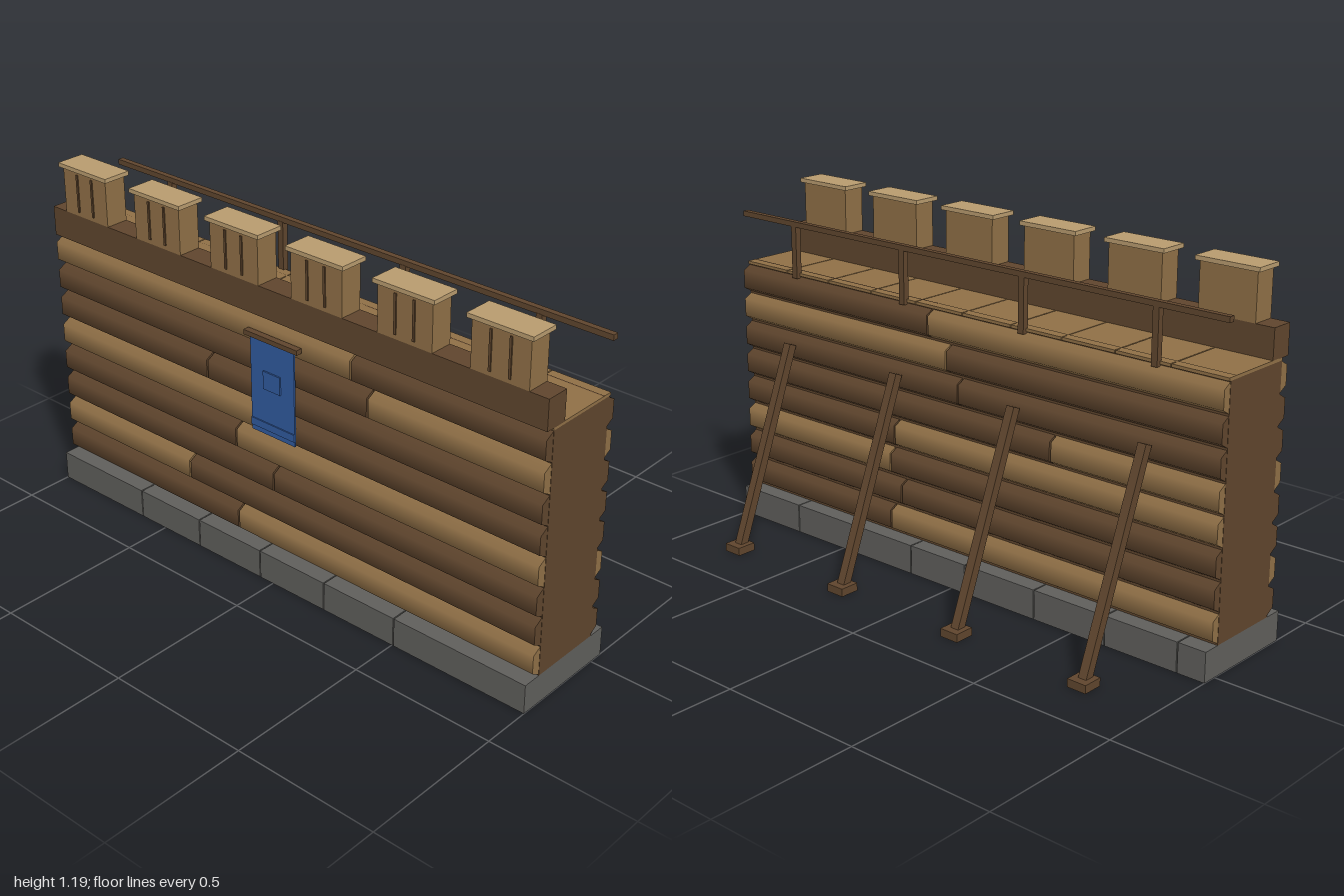
import * as THREE from 'three';

export function createModel() {
  const model = new THREE.Group();
  model.name = 'palisadeWall';

  const paint = (name, color) => {
    const m = new THREE.MeshStandardMaterial({ color });
    m.name = name;
    return m;
  };
  const dark = paint('darkWood', 0x5f452d);
  const tan = paint('tanWood', 0x8f6f46);
  const pale = paint('paleWood', 0xb89b6e);
  const stone = paint('stone', 0x5f5e5b);
  const blue = paint('blueCloth', 0x305a9e);

  // Box given by its lower and upper limits on each axis
  const box = (name, mat, [x0, x1], [y0, y1], [z0, z1], parent = model) => {
    const mesh = new THREE.Mesh(new THREE.BoxGeometry(x1 - x0, y1 - y0, z1 - z0), mat);
    mesh.position.set((x0 + x1) / 2, (y0 + y1) / 2, (z0 + z1) / 2);
    mesh.name = name;
    parent.add(mesh);
    return mesh;
  };
  const group = (name) => {
    const g = new THREE.Group();
    g.name = name;
    model.add(g);
    return g;
  };

  // Stone footing: a core faced with two rows of blocks
  const footing = group('footing');
  box('footingCore', stone, [-0.996, 0.996], [0, 0.097], [-0.046, 0.331], footing);
  const blockRow = (joints, z) => {
    const ends = [-1, ...joints, 1];
    for (let i = 0; i + 1 < ends.length; i++) {
      const left = i ? ends[i] + 0.002 : -1;
      const right = i + 2 < ends.length ? ends[i + 1] - 0.002 : 1;
      box('footingBlock', stone, [left, right], [0, 0.1], z, footing);
    }
  };
  blockRow([-0.61, -0.333, -0.056, 0.22, 0.505], [0.142, 0.335]);
  blockRow([-0.9, -0.63, -0.35, -0.06, 0.18, 0.45, 0.72], [-0.05, 0.142]);

  // Solid wall body between the log faces
  box('wallCore', dark, [-1, 1], [0.1, 0.912], [0.01, 0.271]);

  // Six-sided logs, two to a row: [joint x, material at -x, material at +x]
  const logs = group('logs');
  const addLog = (x0, x1, y, z, mat) => {
    const geo = new THREE.CylinderGeometry(0.062, 0.062, x1 - x0, 6, 1, false, Math.PI / 6);
    geo.rotateZ(Math.PI / 2);
    const log = new THREE.Mesh(geo, mat);
    log.position.set((x0 + x1) / 2, y, z);
    log.name = 'log';
    logs.add(log);
  };
  const frontRows = [
    [-0.18, dark, tan], [-0.4, tan, dark], [-0.02, dark, dark], [-0.18, dark, tan],
    [-0.05, tan, dark], [-0.3, dark, dark], [0.365, dark, tan], [0.3, tan, dark],
  ];
  const backRows = [
    [0.3, tan, dark], [0.25, dark, dark], [0.3, dark, tan], [0.28, tan, dark],
    [-0.38, tan, dark], [0.0, dark, dark], [0.05, dark, tan], [0.13, tan, dark],
  ];
  for (const [rows, z] of [[frontRows, 0.248], [backRows, 0.036]]) {
    rows.forEach(([joint, matA, matB], i) => {
      const y = 0.153 + i * 0.1012;
      addLog(-0.999, joint - 0.003, y, z, matA);
      addLog(joint + 0.003, 0.999, y, z, matB);
    });
  }

  // Walkway boards
  const walkway = group('walkway');
  for (let i = 0; i < 10; i++) {
    const x = -1 + i * 0.2;
    box('walkwayBoard', tan, [x + (i ? 0.002 : 0), x + (i < 9 ? 0.198 : 0.2)],
      [0.912, 0.922], [0.004, 0.272], walkway);
  }

  // Parapet beam with capped, grooved merlons
  box('parapetBeam', dark, [-1, 1], [0.92, 1.02], [0.222, 0.302]);
  const merlons = group('merlons');
  for (let i = 0; i < 6; i++) {
    const x = (i - 2.5) * 0.334;
    box('merlon', tan, [x - 0.1, x + 0.1], [1.02, 1.175], [0.222, 0.302], merlons);
    box('merlonCap', pale, [x - 0.112, x + 0.112], [1.175, 1.189], [0.212, 0.312], merlons);
    for (const s of [-0.034, 0.034]) {
      box('merlonGroove', dark, [x + s - 0.004, x + s + 0.004],
        [1.035, 1.163], [0.3, 0.306], merlons);
    }
  }

  // Rear handrail, and a leaning prop below each post
  box('handrail', dark, [-1, 1], [1.083, 1.101], [-0.009, 0.011]);
  const supports = group('supports');
  const foot = new THREE.Vector2(-0.297, 0.015);
  const head = new THREE.Vector2(-0.04, 0.68);
  const span = head.clone().sub(foot);
  for (const x of [-0.75, -0.25, 0.25, 0.75]) {
    box('railPost', dark, [x - 0.011, x + 0.011], [0.905, 1.085], [-0.009, 0.012], supports);
    box('propFoot', dark, [x - 0.034, x + 0.034], [0, 0.027], [-0.335, -0.266], supports);
    const prop = new THREE.Mesh(new THREE.BoxGeometry(0.03, span.length(), 0.03), dark);
    prop.position.set(x, (foot.y + head.y) / 2, (foot.x + head.x) / 2);
    prop.rotation.x = Math.atan2(span.x, span.y);
    prop.name = 'prop';
    supports.add(prop);
  }

  // Hanging cloth with its rod, hem and a plain patch
  const banner = group('banner');
  box('bannerCloth', blue, [-0.09, 0.09], [0.532, 0.858], [0.313, 0.319], banner);
  box('bannerHem', blue, [-0.09, 0.09], [0.55, 0.575], [0.318, 0.323], banner);
  box('bannerPatch', blue, [-0.035, 0.035], [0.692, 0.753], [0.318, 0.324], banner);
  box('bannerRod', dark, [-0.11, 0.11], [0.855, 0.871], [0.305, 0.327], banner);

  return model;
}
